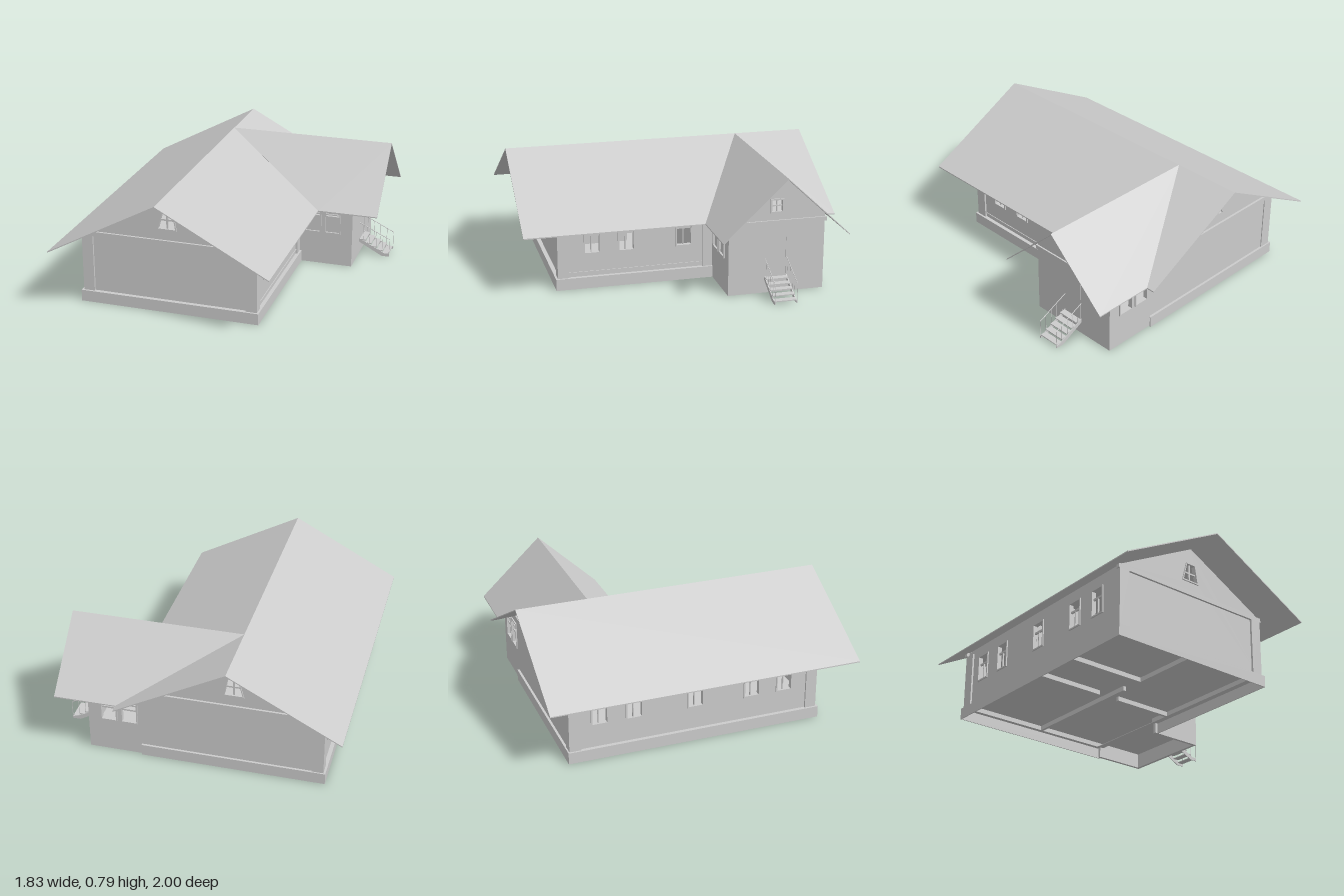
import * as THREE from 'three';

const mat = new THREE.MeshStandardMaterial({ color: 0xcccccc, flatShading: true, side: THREE.DoubleSide });
const RIDGE_X = -0.215, RIDGE_Z = -0.545, RIDGE_Y = 0.778;

function mesh(name, geo, parent) {
  const m = new THREE.Mesh(geo, mat);
  m.name = name;
  parent.add(m);
  return m;
}

// box given by its limits on each axis
function block(name, parent, x0, x1, y0, y1, z0, z1) {
  const m = mesh(name, new THREE.BoxGeometry(x1 - x0, y1 - y0, z1 - z0), parent);
  m.position.set((x0 + x1) / 2, (y0 + y1) / 2, (z0 + z1) / 2);
  return m;
}

const toShape = (pts) => new THREE.Shape(pts.map(([x, y]) => new THREE.Vector2(x, y)));
const rect = (x0, x1, y0, y1) => [[x0, y0], [x1, y0], [x1, y1], [x0, y1]];

function extrude(pts, holes, depth) {
  const shape = toShape(pts);
  holes.forEach((h) => shape.holes.push(toShape(h)));
  return new THREE.ExtrudeGeometry(shape, { depth, bevelEnabled: false });
}

// frame ring plus glazing bars, the bars being [x0, x1, y0, y1] as fractions of the opening
function addWindow(parent, pts, bars) {
  const g = new THREE.Group();
  g.name = 'window';
  parent.add(g);
  const xs = pts.map((p) => p[0]), ys = pts.map((p) => p[1]);
  const x0 = Math.min(...xs), y0 = Math.min(...ys);
  const w = Math.max(...xs) - x0, h = Math.max(...ys) - y0;
  const cx = x0 + w / 2, cy = y0 + h / 2;
  const inner = pts.map(([x, y]) => [cx + (x - cx) * (1 - 0.018 / w), cy + (y - cy) * (1 - 0.018 / h)]);
  mesh('windowFrame', extrude(pts, [inner], 0.03), g).position.z = -0.022;
  bars.forEach(([a, b, c, d]) =>
    block('windowBar', g, x0 + a * w, x0 + b * w, y0 + c * h, y0 + d * h, -0.014, -0.004));
}

// wall seen from outside; local x runs to the viewer's right, outer face at local z = 0
function addWall(parent, name, angle, dist, outline, windows) {
  const g = new THREE.Group();
  g.name = name;
  g.rotation.y = angle;
  g.position.set(Math.sin(angle) * dist, 0, Math.cos(angle) * dist);
  parent.add(g);
  mesh('wallPanel', extrude(outline, windows.map((w) => w.pts), 0.02), g).position.z = -0.02;
  windows.forEach((w) => addWindow(g, w.pts, w.bars));
}

// roof sheet drawn in plan as (x, z) and lifted by a height rule
function addRoof(parent, name, plan, height) {
  const geo = extrude(plan.map(([x, z]) => [x, -z]), [], 0.007).rotateX(-Math.PI / 2);
  const p = geo.attributes.position;
  for (let i = 0; i < p.count; i++) p.setY(i, p.getY(i) + height(p.getX(i), p.getZ(i)));
  geo.computeVertexNormals();
  mesh(name, geo, parent);
}

const mainHeight = (x) => RIDGE_Y - Math.abs(x - RIDGE_X) * 0.375 / 0.7;
const wingHeight = (x, z) => RIDGE_Y - Math.abs(z - RIDGE_Z) * 0.374 / 0.4;

const casement = (u) => ({
  pts: rect(u - 0.055, u + 0.055, 0.22, 0.402),
  bars: [[0, 1, 0.63, 0.7], [0.42, 0.48, 0, 0.65]],
});
const sash = (u) => ({
  pts: rect(u - 0.055, u + 0.055, 0.22, 0.402),
  bars: [[0, 1, 0.68, 0.73], [0, 1, 0.48, 0.54]],
});
// sash with its lower light closed
const closedSash = (u) => ({ pts: sash(u).pts, bars: [[0, 1, 0.7, 0.74], [0, 1, 0, 0.66]] });
const cross = [[0.46, 0.54, 0, 1], [0, 1, 0.45, 0.53]];

export function createModel() {
  const house = new THREE.Group();
  house.name = 'house';
  const H = Math.PI / 2;

  // hollow plinth: thin skirts below a ledge
  [[-0.8, 0.36, 0.779, 0.785], [-0.8, 0.36, -0.865, -0.859], [-0.8, -0.794, -0.859, 0.779],
    [0.354, 0.36, -0.23, 0.779]].forEach(([x0, x1, z0, z1]) =>
    block('plinthSkirt', house, x0, x1, 0, 0.073, z0, z1));
  mesh('plinthLedge', extrude(rect(-0.8, 0.36, -0.785, 0.865), [rect(-0.755, 0.315, -0.738, 0.832)], 0.004)
    .rotateX(-H), house).position.y = 0.07;

  // floors and ceilings
  block('mainFloor', house, -0.756, 0.34, 0.1, 0.106, -0.835, 0.74);
  block('wingFloor', house, 0.34, 0.685, 0.1, 0.106, -0.835, -0.245);
  block('mainCeiling', house, -0.756, 0.34, 0.41, 0.416, -0.835, 0.74);
  block('wingCeiling', house, 0.34, 0.685, 0.41, 0.416, -0.835, -0.245);

  // inner partitions, their feet reaching below the floor
  [[-0.18, -0.16, 0.22, 0.74], [-0.18, -0.16, -0.835, 0.06], [-0.756, -0.25, -0.11, -0.09],
    [-0.1, 0.32, -0.11, -0.09], [-0.756, -0.18, 0.21, 0.23]].forEach(([x0, x1, z0, z1]) =>
    block('partition', house, x0, x1, 0.07, 0.41, z0, z1));

  // gable walls of the main block, front and back
  [[0, 0.758, 1, 'frontGable'], [Math.PI, 0.85, -1, 'backGable']].forEach(([angle, dist, s, name]) => {
    const outline = [[-0.775, 0.07], [0.335, 0.07], [0.335, mainHeight(0.335)],
      [RIDGE_X, RIDGE_Y], [-0.775, mainHeight(-0.775)]];
    const attic = [[-0.292, 0.54], [-0.163, 0.54], [-0.186, 0.67], [-0.258, 0.67]];
    const flip = (pts) => (s > 0 ? pts : pts.map(([x, y]) => [-x, y]).reverse());
    addWall(house, name, angle, dist, flip(outline), [{ pts: flip(attic), bars: cross }]);
    const z0 = s * (dist - 0.01), z1 = s * (dist + 0.014);
    block('gableBand', house, -0.795, 0.355, 0.445, 0.474, Math.min(z0, z1), Math.max(z0, z1));
  });

  // long side walls
  addWall(house, 'rightSideWall', -H, 0.775, rect(-0.84, 0.755, 0.07, 0.475),
    [-0.66, -0.44, -0.045, 0.33, 0.55].map(casement));
  addWall(house, 'leftSideWall', H, 0.335, rect(-0.755, 0.24, 0.07, 0.475),
    [-0.55, -0.33, 0.045].map(casement));

  // corner pilasters
  [[-0.787, -0.715, 0.7, 0.772], [0.275, 0.347, 0.7, 0.772], [-0.787, -0.715, -0.856, -0.78],
    [0.315, 0.347, -0.23, -0.165]].forEach(([x0, x1, z0, z1]) =>
    block('cornerPilaster', house, x0, x1, 0.07, 0.446, z0, z1));

  // wing walls
  addWall(house, 'wingFrontWall', 0, -0.23, rect(0.335, 0.702, 0, 0.475), [0.436, 0.568].map(closedSash));
  addWall(house, 'wingBackWall', Math.PI, 0.85, rect(-0.702, -0.335, 0, 0.475), [-0.568, -0.436].map(sash));
  addWall(house, 'wingGable', H, 0.702,
    [[0.23, 0], [0.85, 0], [0.85, wingHeight(0, -0.85)], [-RIDGE_Z, RIDGE_Y], [0.23, wingHeight(0, -0.23)]],
    [{ pts: rect(0.493, 0.58, 0.52, 0.61), bars: cross }]);
  block('wingBand', house, 0.695, 0.712, 0.445, 0.472, -0.86, -0.222);

  // roofs, meeting in two valleys
  addRoof(house, 'mainRoofRight', [[-0.915, 1], [RIDGE_X, 1], [RIDGE_X, -1], [-0.915, -1]], mainHeight);
  addRoof(house, 'mainRoofLeft', [[RIDGE_X, 1], [0.488, 1], [0.488, -0.145], [RIDGE_X, RIDGE_Z],
    [0.488, -0.945], [0.488, -1], [RIDGE_X, -1]], mainHeight);
  [1, -1].forEach((s) => {
    const eave = RIDGE_Z + s * 0.402;
    addRoof(house, 'wingRoof', [[RIDGE_X, RIDGE_Z], [0.881, RIDGE_Z], [0.881, eave], [0.488, eave]], wingHeight);
  });

  // entrance steps with stringers and railings
  const stairs = new THREE.Group();
  stairs.name = 'entranceSteps';
  house.add(stairs);
  for (let i = 0; i < 5; i++) {
    const x = 0.705 + i * 0.04, y = 0.105 - i * 0.021;
    block('tread', stairs, x, x + 0.042, y - 0.006, y, -0.605, -0.465);
  }
  const railLine = new THREE.LineCurve3(new THREE.Vector3(0.702, 0.225, 0), new THREE.Vector3(0.911, 0.125, 0));
  [-0.467, -0.608].forEach((z) => {
    mesh('stringer', extrude([[0.702, 0.085], [0.86, 0], [0.912, 0], [0.912, 0.015], [0.88, 0.02], [0.702, 0.11]],
      [], 0.006), stairs).position.z = z - 0.003;
    mesh('handrail', new THREE.TubeGeometry(railLine, 1, 0.0025, 6), stairs).position.z = z;
    for (let i = 0; i < 5; i++) {
      const x = 0.73 + i * 0.045, top = 0.225 - (x - 0.702) * 0.48;
      block('baluster', stairs, x - 0.0012, x + 0.0012, top - 0.115, top, z - 0.0012, z + 0.0012);
    }
  });
  block('doorPost', house, 0.702, 0.706, 0.1, 0.36, -0.604, -0.6);

  return house;
}
